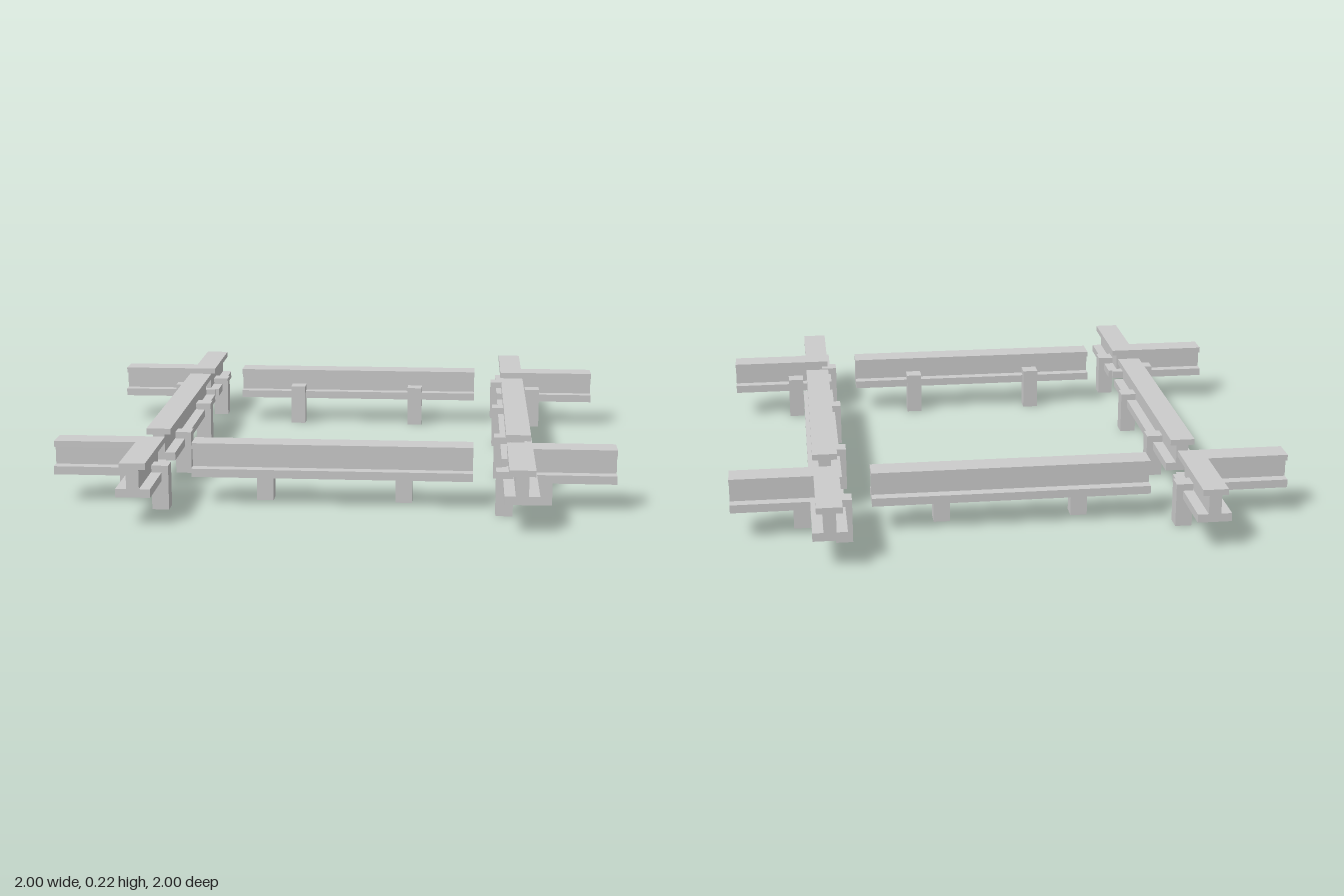
import * as THREE from 'three';

const RAIL = 0.66;                        // distance of the rail centreline from the middle
const Y = [0.105, 0.135, 0.203, 0.225];   // bottom, lower flange, web, top
const HALF = { foot: 0.06, web: 0.022, head: 0.045 };

const grey = new THREE.MeshStandardMaterial({ color: 0xcccccc, flatShading: true });
const thin = new THREE.MeshStandardMaterial({ color: 0xcccccc, flatShading: true, side: THREE.DoubleSide });

const toShape = (pts) => new THREE.Shape(pts.map(([x, y]) => new THREE.Vector2(x, y)));

function add(parent, name, geometry, material = grey) {
  const mesh = new THREE.Mesh(geometry, material);
  mesh.name = name;
  parent.add(mesh);
  return mesh;
}

// Straight rail of I section, running along x
function railGeometry(length) {
  const { foot, web, head } = HALF;
  const right = [[foot, Y[0]], [foot, Y[1]], [web, Y[1]], [web, Y[2]], [head, Y[2]], [head, Y[3]]];
  const left = right.map(([x, y]) => [-x, y]).reverse();
  const geo = new THREE.ExtrudeGeometry(toShape([...right, ...left]), { depth: length, bevelEnabled: false });
  return geo.translate(0, 0, -length / 2).rotateY(Math.PI / 2).translate(-0.004, 0, RAIL);
}

// One layer of the L-shaped corner, optionally with its inner tip cut away
function cornerLayer(half, y0, y1, notch = 0) {
  const a = RAIL - half, b = RAIL + half, n = a + notch;
  const tip = notch ? [[a, n], [n, n], [n, a]] : [[a, a]];
  const shape = toShape([...tip, [1, a], [1, b], [b, b], [b, 1], [a, 1]]);
  return new THREE.ExtrudeGeometry(shape, { depth: y1 - y0, bevelEnabled: false })
    .rotateX(Math.PI / 2).translate(0, y1, 0);
}

// Square post, open underneath
function postGeometry() {
  const geo = new THREE.BoxGeometry(0.06, 0.16, 0.06).translate(0, 0.08, 0);
  const index = Array.from(geo.index.array);
  index.splice(18, 6);
  geo.setIndex(index);
  geo.clearGroups();
  return geo;
}

export function createModel() {
  const model = new THREE.Group();
  model.name = 'railFrame';
  const rail = railGeometry(1);
  const foot = cornerLayer(HALF.foot, Y[0], Y[1], 0.015);
  const web = cornerLayer(HALF.web, Y[1], Y[2]);
  const head = cornerLayer(HALF.head, Y[2], Y[3]);
  const post = postGeometry();
  const inner = 0.606;                    // post centreline, just inside the rail

  // Each quarter turn holds one straight rail and one corner
  for (let i = 0; i < 4; i++) {
    const quarter = new THREE.Group();
    quarter.name = 'quarter' + (i + 1);
    quarter.rotation.y = i * Math.PI / 2;

    const straight = new THREE.Group();
    straight.name = 'straightRail';
    add(straight, 'rail', rail);
    for (const x of [-0.25, 0.25]) add(straight, 'railPost', post, thin).position.set(x, 0, inner);

    const corner = new THREE.Group();
    corner.name = 'cornerRail';
    add(corner, 'cornerFoot', foot);
    add(corner, 'cornerWeb', web);
    add(corner, 'cornerHead', head);
    add(corner, 'cornerPost', post, thin).position.set(0.75, 0, inner);
    add(corner, 'cornerPost', post, thin).position.set(inner, 0, 0.75);

    quarter.add(straight, corner);
    model.add(quarter);
  }
  return model;
}
